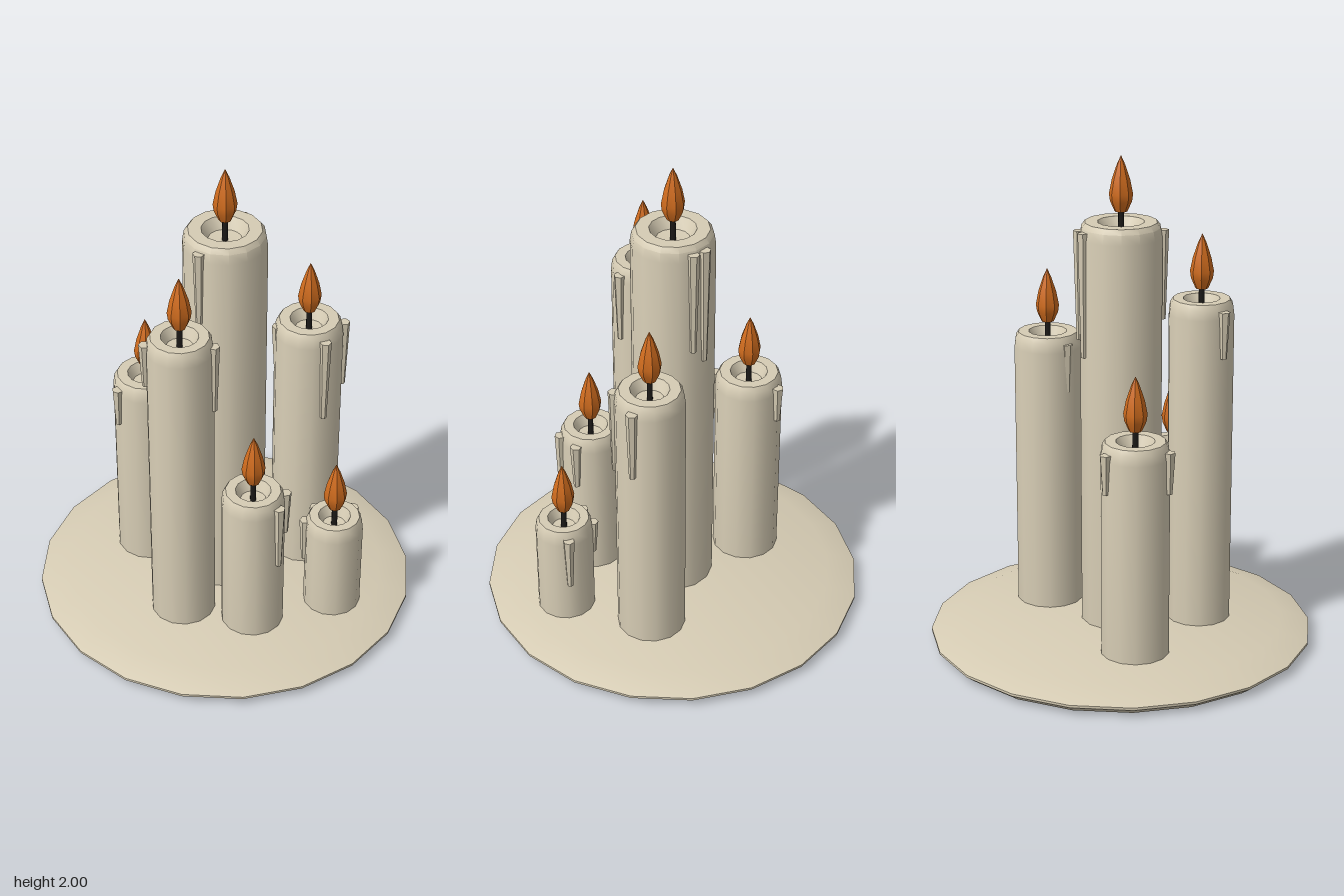
import * as THREE from 'three';
import { toCreasedNormals } from 'three/addons/utils/BufferGeometryUtils.js';

const material = (name, color) => {
  const m = new THREE.MeshStandardMaterial({ color });
  m.name = name;
  return m;
};

// Turned part from a bottom-to-top [radius, y] profile, soft below a 35 degree crease
function turned(profile, sides, mat, name) {
  const points = profile.map(([r, y]) => new THREE.Vector2(r, y));
  const geometry = toCreasedNormals(new THREE.LatheGeometry(points, sides), 0.61);
  const mesh = new THREE.Mesh(geometry, mat);
  mesh.name = name;
  return mesh;
}

// x, z, radius, top height, drips as [offset x, offset z, length]
const CANDLES = [
  [0, 0, 0.165, 1.74, [[0.035, -0.16, 0.5], [0.085, -0.14, 0.44], [-0.11, 0.12, 0.36]]],
  [-0.305, -0.18, 0.137, 0.96, [[0.01, -0.14, 0.16], [-0.12, 0.07, 0.17], [0.035, 0.132, 0.2]]],
  [0.345, -0.1, 0.138, 1.24, [[0.142, -0.005, 0.3], [0.05, 0.13, 0.37], [-0.125, 0, 0.2]]],
  [-0.195, 0.25, 0.131, 1.43, [[-0.133, 0, 0.19], [0.126, 0.035, 0.3]]],
  [0.08, 0.345, 0.127, 0.74, [[0.13, -0.01, 0.2], [0.094, 0.088, 0.29]]],
  [0.42, 0.265, 0.117, 0.52, [[0.088, -0.08, 0.23], [-0.065, -0.095, 0.15], [-0.116, -0.015, 0.2]]],
];
const PLATE_TOP = 0.08;

export function createModel() {
  const wax = material('wax', 0xd6ccb4);
  const wickBlack = material('wickBlack', 0x1c1a18);
  const flameOrange = material('flameOrange', 0xd06c1e);
  const model = new THREE.Group();
  model.name = 'candleCluster';

  // Shallow plate
  model.add(turned(
    [[0, 0], [0.74, 0], [0.78, 0.03], [0.78, 0.04], [0.66, PLATE_TOP], [0, PLATE_TOP]],
    20, wax, 'plate'));

  CANDLES.forEach(([x, z, r, h, drips], i) => {
    const candle = new THREE.Group();
    candle.name = `candle${i + 1}`;
    candle.position.set(x, 0, z);

    // Body with rounded shoulder and melted hollow
    candle.add(turned([
      [r, PLATE_TOP - 0.01], [r, h - 0.06], [r * 0.96, h - 0.02], [r * 0.87, h],
      [r * 0.56, h], [r * 0.4, h - 0.045], [0, h - 0.05],
    ], 14, wax, 'body'));

    // Wick
    const wick = new THREE.Mesh(new THREE.CylinderGeometry(0.012, 0.013, 0.11, 6), wickBlack);
    wick.name = 'wick';
    wick.position.y = h;
    candle.add(wick);

    // Faceted teardrop flame
    candle.add(turned([
      [0, h + 0.035], [0.025, h + 0.04], [0.043, h + 0.08], [0.047, h + 0.11],
      [0.036, h + 0.165], [0.016, h + 0.225], [0, h + 0.26],
    ], 8, flameOrange, 'flame'));

    // Tapered wax drips down the side
    for (const [dx, dz, length] of drips) {
      const geometry = toCreasedNormals(new THREE.CylinderGeometry(0.024, 0.013, length, 6), 0.61);
      const drip = new THREE.Mesh(geometry, wax);
      drip.name = 'drip';
      drip.position.set(dx, h - 0.03 - length / 2, dz);
      drip.rotation.y = Math.atan2(dx, dz);
      candle.add(drip);
    }
    model.add(candle);
  });
  return model;
}
